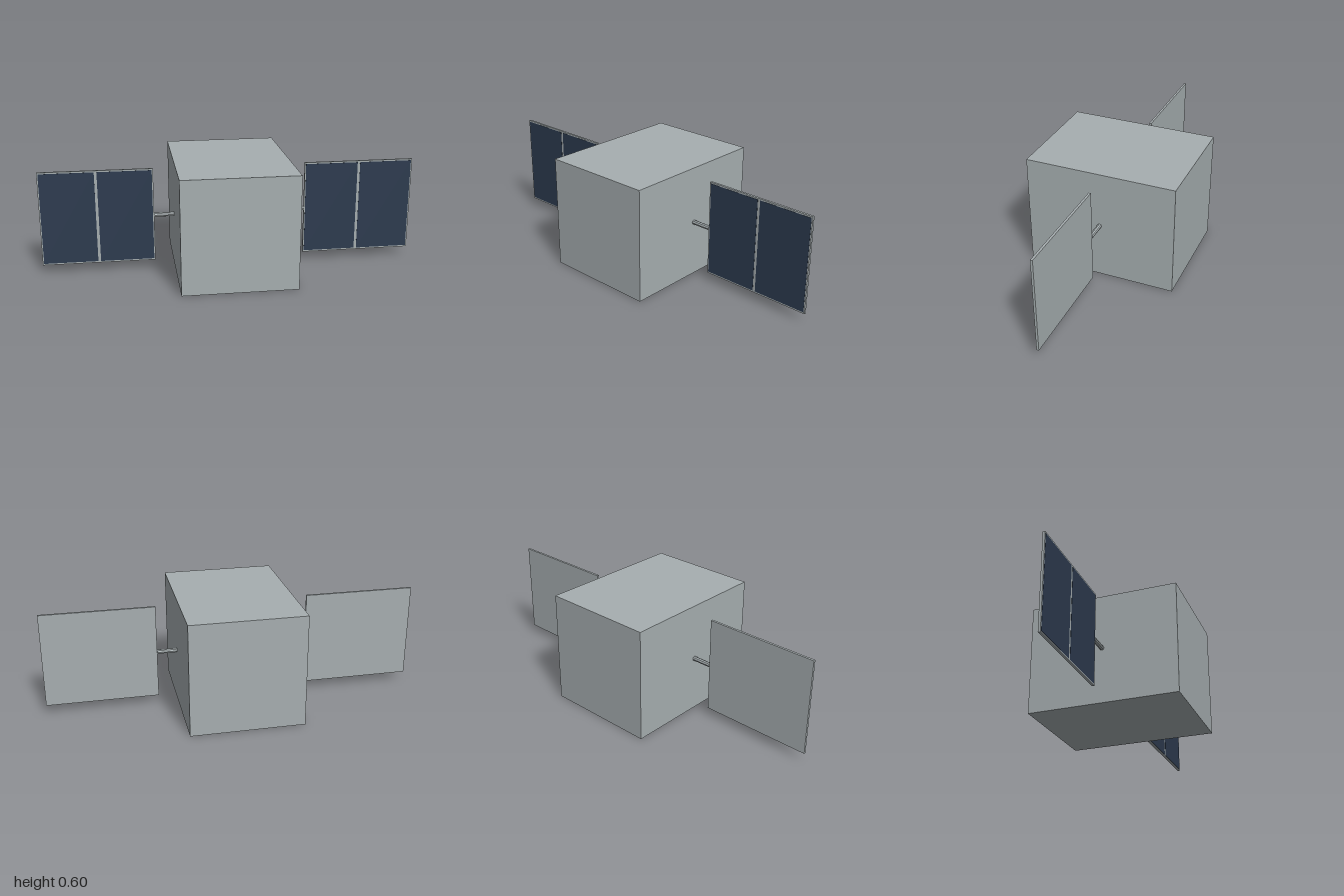
import * as THREE from 'three';

export function createModel() {
  const model = new THREE.Group();
  const hull = new THREE.MeshStandardMaterial({ color: 0xa6aeb0 });
  hull.name = 'hullGrey';
  hull.flatShading = true;
  const cellBlue = new THREE.MeshStandardMaterial({ color: 0x2d3b4f });
  cellBlue.name = 'solarBlue';

  const add = (parent, name, geometry, material, x, y, z) => {
    const mesh = new THREE.Mesh(geometry, material);
    mesh.name = name;
    mesh.position.set(x, y, z);
    parent.add(mesh);
    return mesh;
  };

  // Central bus
  add(model, 'body', new THREE.BoxGeometry(0.6, 0.6, 0.8), hull, 0, 0.3, 0);

  // Mirrored wings: boom, panel and two front-facing solar cells each
  for (const [side, label] of [[1, 'left'], [-1, 'right']]) {
    const wing = new THREE.Group();
    wing.name = label + 'Wing';
    model.add(wing);
    const boom = add(wing, 'boom', new THREE.CylinderGeometry(0.012, 0.012, 0.11, 8), hull, side * 0.35, 0.3, 0);
    boom.rotation.z = Math.PI / 2;
    add(wing, 'panel', new THREE.BoxGeometry(0.595, 0.508, 0.012), hull, side * 0.7025, 0.301, 0);
    for (const offset of [-1, 1]) {
      add(wing, 'solarCell', new THREE.BoxGeometry(0.284, 0.492, 0.002), cellBlue,
        side * 0.7025 + offset * 0.149, 0.301, 0.006);
    }
  }
  return model;
}
